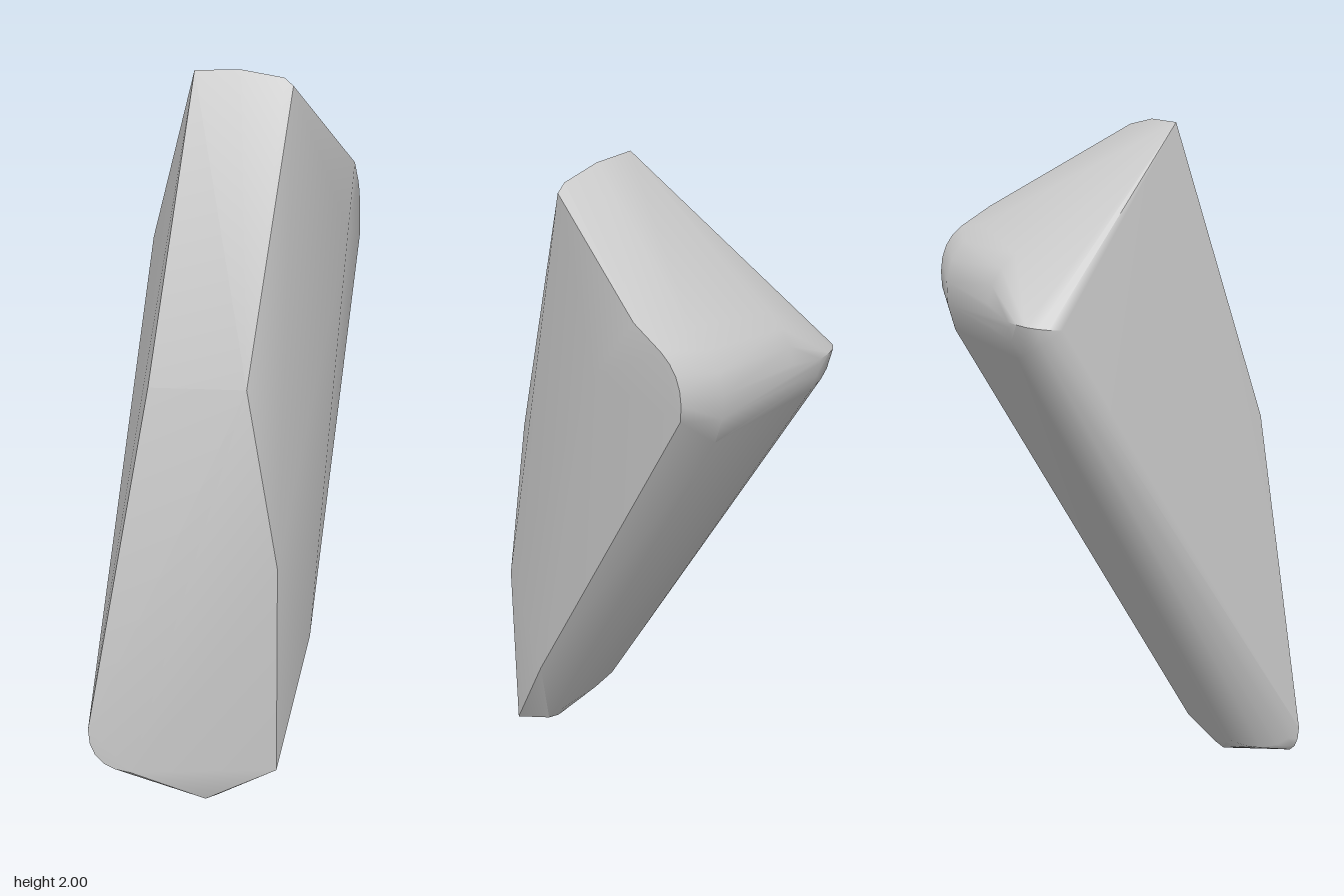
import * as THREE from 'three';
import { ConvexGeometry } from 'three/addons/geometries/ConvexGeometry.js';

const v = (x, y, z) => new THREE.Vector3(x, y, z);

// Points on a rounded corner from a to b, bulging toward corner c
function roundCorner(a, c, b, steps = 5) {
  return new THREE.QuadraticBezierCurve3(a, c, b).getPoints(steps);
}

// Smooth normals weighted by face area, split where faces meet at a sharp angle
function creaseByArea(geometry, angle) {
  const pos = geometry.attributes.position;
  const corner = (i) => new THREE.Vector3().fromBufferAttribute(pos, i);
  const key = (p) => p.toArray().map((n) => Math.round(n * 1e4)).join();
  const faces = [];
  const around = new Map();
  for (let i = 0; i < pos.count; i += 3) {
    const [a, b, c] = [corner(i), corner(i + 1), corner(i + 2)];
    const weighted = b.clone().sub(a).cross(c.clone().sub(a));
    const face = { weighted, unit: weighted.clone().normalize() };
    faces.push(face);
    for (const p of [a, b, c]) {
      if (!around.has(key(p))) around.set(key(p), []);
      around.get(key(p)).push(face);
    }
  }
  const limit = Math.cos(angle);
  for (let i = 0; i < pos.count; i++) {
    const own = faces[Math.floor(i / 3)];
    const sum = own.weighted.clone();
    for (const f of around.get(key(corner(i)))) {
      if (f !== own && f.unit.dot(own.unit) > limit) sum.add(f.weighted);
    }
    sum.normalize();
    geometry.attributes.normal.setXYZ(i, sum.x, sum.y, sum.z);
  }
  return geometry;
}

export function createModel() {
  const group = new THREE.Group();
  group.name = 'rock';
  const stone = new THREE.MeshStandardMaterial({ color: 0xc8c8c8 });
  stone.name = 'stone grey';

  const points = [
    // top front edge
    v(-0.08, 2, 0.13), v(0.05, 2, 0.13), v(0.17, 1.977, 0.13), v(0.195, 1.955, 0.13),
    // bend across the front
    v(-0.155, 1.155, 0.385), v(0.115, 1.155, 0.385),
    // front edge on +x
    v(0.2, 0.67, 0.385), v(0.2, 0.1, 0.385),
    // flank on +x
    v(0.32, 1.75, -0.25), v(0.32, 1.56, -0.11), v(0.263, 0.43, 0.2),
    // foot
    v(0, 0, 0.385), v(0.03, 0.01, 0.375), v(-0.1, 0.08, 0.325), v(0.12, 0.08, 0.325),
    // lower front corner
    ...roundCorner(v(-0.32, 0.2, 0.445), v(-0.32, 0.09, 0.445), v(-0.2, 0.085, 0.445)),
    // back ridge, from the +x end to the -x end
    ...roundCorner(v(0.32, 1.7, -0.34), v(0.32, 1.65, -0.42), v(0.32, 1.53, -0.405)),
    ...roundCorner(v(0.2, 1.72, -0.33), v(0.2, 1.625, -0.495), v(0.2, 1.43, -0.42)),
    ...roundCorner(v(-0.08, 1.68, -0.36), v(-0.08, 1.605, -0.49), v(-0.08, 1.43, -0.42)),
    ...roundCorner(v(-0.2, 1.57, -0.4), v(-0.2, 1.56, -0.475), v(-0.2, 1.43, -0.42)),
    // rounded back edge on -x, upper and lower ends
    ...roundCorner(v(-0.32, 1.52, -0.35), v(-0.32, 1.47, -0.43), v(-0.2, 1.43, -0.42)),
    ...roundCorner(v(-0.32, 1.52, -0.35), v(-0.32, 1.53, -0.445), v(-0.2, 1.53, -0.445)),
    ...roundCorner(v(-0.32, 0.2, 0.445), v(-0.3, 0.1, 0.37), v(-0.16, 0.12, 0.303)),
  ];

  const rock = new THREE.Mesh(creaseByArea(new ConvexGeometry(points), 0.5), stone);
  rock.name = 'stoneBody';
  group.add(rock);
  return group;
}
